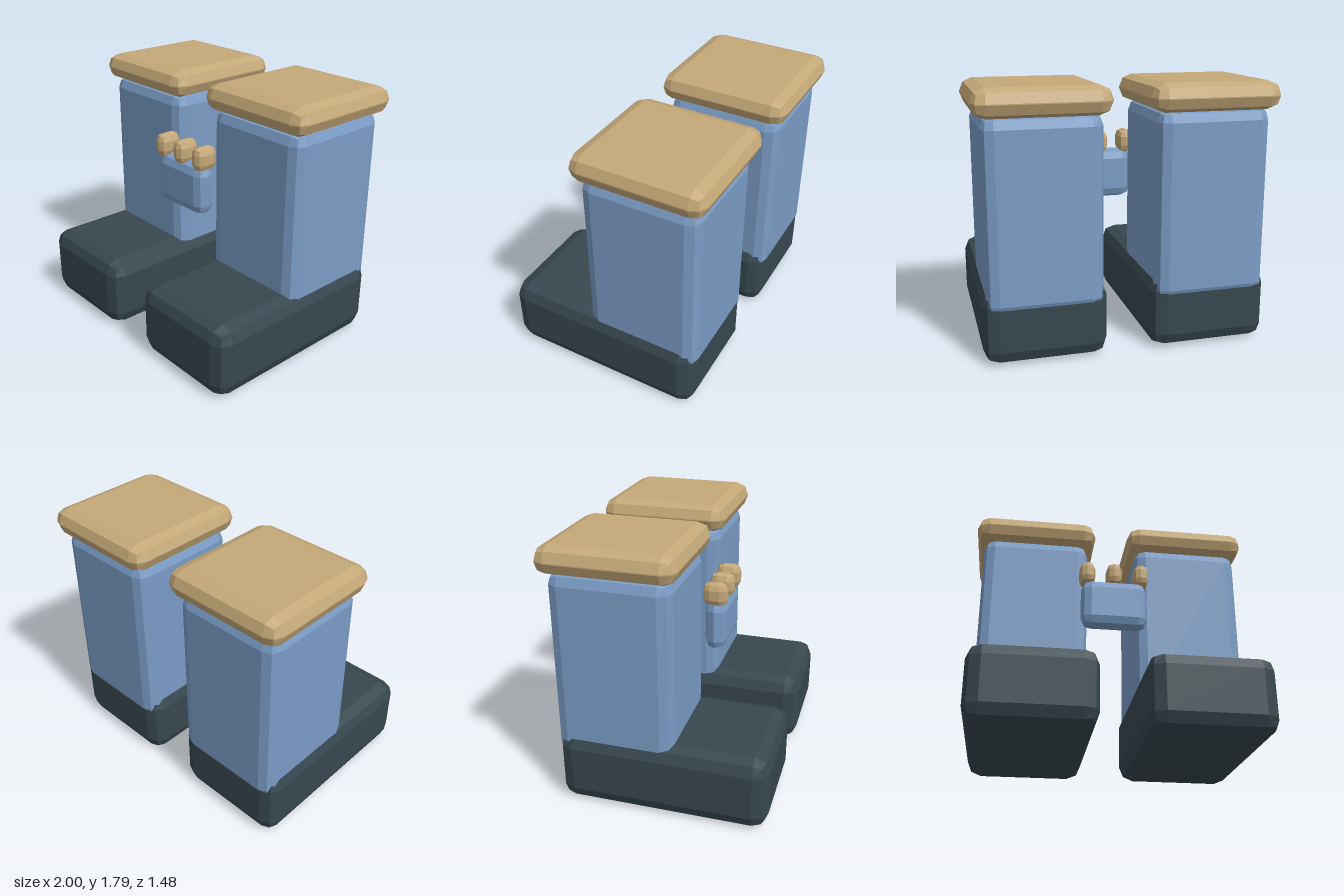
import * as THREE from 'three';
import { RoundedBoxGeometry } from 'three/addons/geometries/RoundedBoxGeometry.js';

const material = (color) => new THREE.MeshStandardMaterial({ color, flatShading: true });

// Box with a two-step bevel, given by its extents on each axis
function bevelBox(name, [x0, x1], [y0, y1], [z0, z1], bevel, mat) {
  const geometry = new RoundedBoxGeometry(x1 - x0, y1 - y0, z1 - z0, 1, bevel);
  const mesh = new THREE.Mesh(geometry, mat);
  mesh.name = name;
  mesh.position.set((x0 + x1) / 2, (y0 + y1) / 2, (z0 + z1) / 2);
  return mesh;
}

export function createModel() {
  const model = new THREE.Group();
  model.name = 'bootsWithHand';
  const blue = material(0x7a9cc6);
  const tan = material(0xc4a878);
  const dark = material(0x37474f);

  // Two legs, each with a boot below and a cuff on top
  for (const [side, s] of [['left', 1], ['right', -1]]) {
    const leg = new THREE.Group();
    leg.name = side + 'Leg';
    const span = (a, b) => (s > 0 ? [a, b] : [-b, -a]);
    leg.add(
      bevelBox('boot', span(0.147, 0.97), [0, 0.505], [-0.673, 0.74], 0.1, dark),
      bevelBox('shaft', span(0.175, 0.943), [0.335, 1.615], [-0.683, 0.112], 0.08, blue),
      bevelBox('cuff', span(0.12, 1), [1.6, 1.787], [-0.74, 0.162], 0.09, tan),
    );
    model.add(leg);
  }

  // Small hand between the legs with three fingertips
  const hand = new THREE.Group();
  hand.name = 'hand';
  hand.add(bevelBox('palm', [-0.234, 0.234], [0.875, 1.236], [0.121, 0.269], 0.07, blue));
  for (const x of [-0.192, 0, 0.192]) {
    hand.add(bevelBox('fingertip', [x - 0.055, x + 0.055], [1.207, 1.375], [0.113, 0.283], 0.05, tan));
  }
  model.add(hand);
  return model;
}
